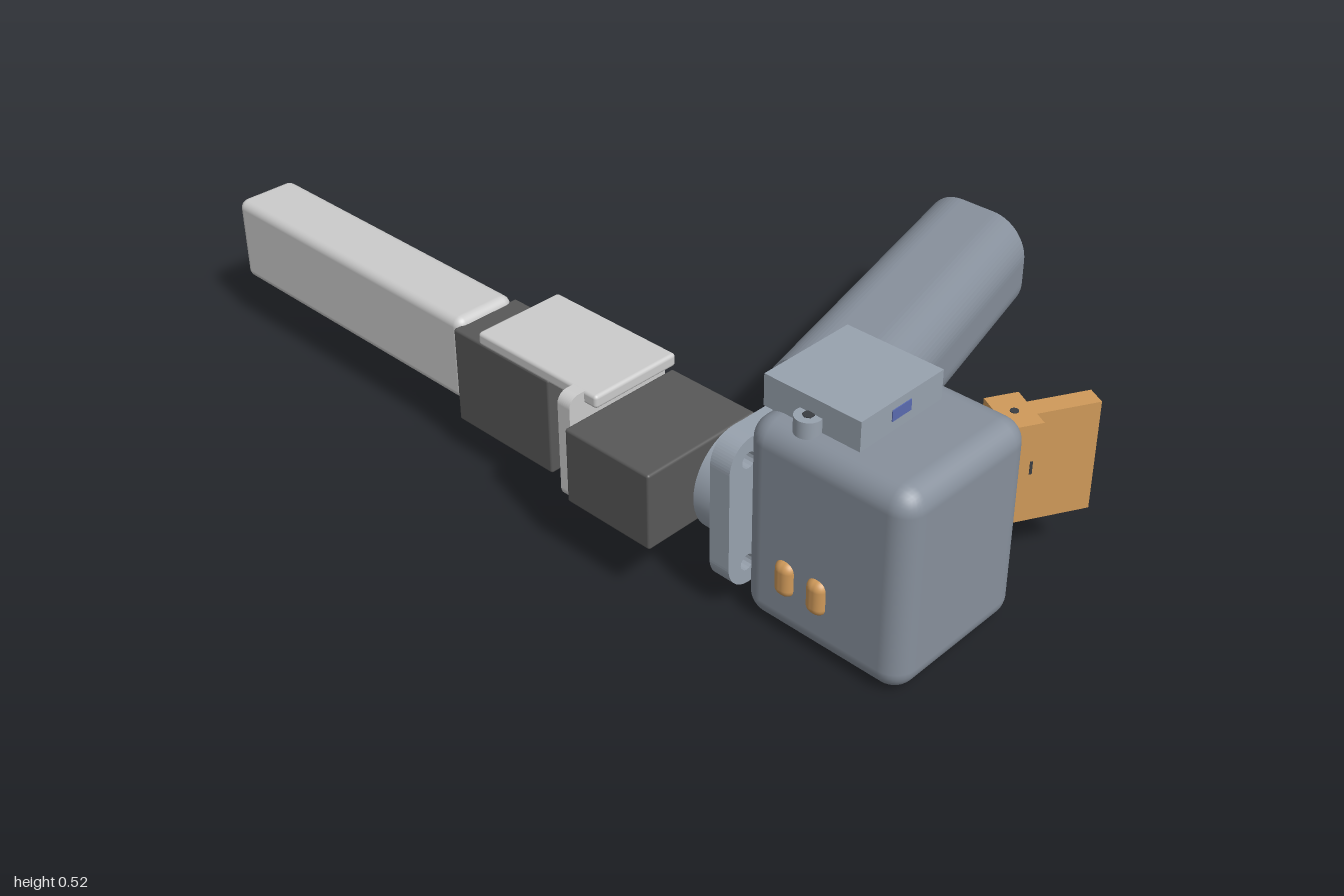
import * as THREE from 'three';
import { RoundedBoxGeometry } from 'three/addons/geometries/RoundedBoxGeometry.js';

const material = (color) => new THREE.MeshStandardMaterial({ color });
const SLATE = material(0x87909c);
const STEEL = material(0x98a2ae);
const LIGHT = material(0xd4d4d4);
const DARK = material(0x585858);
const ORANGE = material(0xd09a5a);
const BLUE = material(0x5a6bb0);
const HOLE = material(0x3a3d42);

function add(parent, name, geometry, mat, x = 0, y = 0, z = 0) {
  const mesh = new THREE.Mesh(geometry, mat);
  mesh.name = name;
  mesh.position.set(x, y, z);
  parent.add(mesh);
  return mesh;
}

// Box given by its minimum and maximum on each axis; r rounds the edges.
function block(parent, name, mat, [x0, x1], [y0, y1], [z0, z1], r = 0) {
  const size = [x1 - x0, y1 - y0, z1 - z0];
  const geometry = r ? new RoundedBoxGeometry(...size, 4, r) : new THREE.BoxGeometry(...size);
  return add(parent, name, geometry, mat, (x0 + x1) / 2, (y0 + y1) / 2, (z0 + z1) / 2);
}

// Cylinder along the given axis.
function rod(parent, name, mat, axis, r, length, x, y, z, sides = 32) {
  const geometry = new THREE.CylinderGeometry(r, r, length, sides);
  if (axis === 'x') geometry.rotateZ(Math.PI / 2);
  if (axis === 'z') geometry.rotateX(Math.PI / 2);
  return add(parent, name, geometry, mat, x, y, z);
}

function roundedRect(w, h, r, Type = THREE.Shape) {
  const s = new Type();
  const a = w / 2, b = h / 2;
  s.absarc(a - r, b - r, r, 0, Math.PI / 2);
  s.absarc(r - a, b - r, r, Math.PI / 2, Math.PI);
  s.absarc(r - a, r - b, r, Math.PI, Math.PI * 1.5);
  s.absarc(a - r, r - b, r, Math.PI * 1.5, Math.PI * 2);
  s.closePath();
  return s;
}

function circleHole(x, y, r) {
  const p = new THREE.Path();
  p.absarc(x, y, r, 0, Math.PI * 2, true);
  return p;
}

const extrude = (shape, depth) =>
  new THREE.ExtrudeGeometry(shape, { depth, bevelEnabled: false, curveSegments: 8 });

export function createModel() {
  const model = new THREE.Group();
  model.name = 'articulatedTool';

  // Main housing with two push buttons
  const head = new THREE.Group();
  head.name = 'head';
  model.add(head);
  block(head, 'housing', SLATE, [0.6, 0.99], [0, 0.455], [0.14, 0.505], 0.05);
  for (const x of [0.712, 0.79]) {
    block(head, 'button', ORANGE, [x - 0.023, x + 0.023], [0.098, 0.178], [0.47, 0.52], 0.02);
  }

  // Module on top, screwed down front and back, with a port on its left
  block(head, 'topModule', STEEL, [0.6, 0.83], [0.45, 0.52], [0.21, 0.448]);
  block(head, 'port', BLUE, [0.8, 0.832], [0.478, 0.502], [0.305, 0.36]);
  for (const z of [0.198, 0.456]) {
    rod(head, 'screwBoss', STEEL, 'y', 0.028, 0.036, 0.715, 0.468, z);
    rod(head, 'screwSocket', HOLE, 'y', 0.012, 0.002, 0.715, 0.487, z, 6);
  }

  // Mounting flange with corner holes
  const flange = roundedRect(0.385, 0.34, 0.06);
  for (const x of [-0.14, 0.14]) {
    for (const y of [-0.12, 0.12]) flange.holes.push(circleHole(x, y, 0.018));
  }
  const plate = add(model, 'flange', extrude(flange, 0.05), STEEL, 0.555, 0.23, 0.352);
  plate.rotation.y = Math.PI / 2;
  rod(model, 'flangeDisc', STEEL, 'x', 0.117, 0.056, 0.528, 0.228, 0.415, 48);
  rod(model, 'shaft', STEEL, 'x', 0.07, 0.04, 0.485, 0.228, 0.415);

  // Two servo blocks joined by an angled bracket
  block(model, 'innerServo', DARK, [0.242, 0.472], [0.14, 0.315], [0.325, 0.625], 0.006);
  block(model, 'outerServo', DARK, [-0.2, 0.096], [0.086, 0.316], [0.36, 0.535], 0.006);
  rod(model, 'servoHorn', LIGHT, 'y', 0.07, 0.036, 0.01, 0.331, 0.45);
  block(model, 'bracketTop', LIGHT, [-0.075, 0.275], [0.346, 0.376], [0.347, 0.57], 0.008);
  const side = add(model, 'bracketSide', extrude(roundedRect(0.264, 0.25, 0.025), 0.034),
    LIGHT, 0.208, 0.25, 0.478);
  side.rotation.y = Math.PI / 2;

  // Long light arm
  block(model, 'arm', LIGHT, [-1, -0.19], [0.125, 0.332], [0.373, 0.527], 0.022);

  // Slanted handle: a rounded section sheared sideways along its length
  const section = roundedRect(0.28, 0.25, 0.095);
  section.holes.push(circleHole(0, 0, 0.014));
  const grip = extrude(section, 0.805);
  const pos = grip.attributes.position;
  for (let i = 0; i < pos.count; i++) {
    const z = pos.getZ(i);
    pos.setX(i, pos.getX(i) + 0.255 * z);
    pos.setY(i, pos.getY(i) * (0.98 + 0.07 * z));
  }
  grip.computeVertexNormals();
  add(model, 'handle', grip, SLATE, 0.305, 0.228, -0.63);
  for (const z of [-0.45, 0]) {
    rod(model, 'handleScrewHole', HOLE, 'y', 0.018, 0.01, 0.305 + 0.255 * (z + 0.63), 0.105, z, 16);
  }

  // Orange paddle, with local -z running out along its stalk
  const lever = new THREE.Group();
  lever.name = 'lever';
  lever.position.set(0.925, 0, -0.015);
  lever.rotation.y = -0.5;
  model.add(lever);
  block(lever, 'paddle', ORANGE, [-0.022, 0.022], [0.125, 0.378], [-0.1, 0.1]);
  block(lever, 'clamp', ORANGE, [-0.058, 0.054], [0.298, 0.378], [0.038, 0.112]);
  for (const x of [-0.022, 0.022]) {
    block(lever, 'stalk', ORANGE, [x - 0.015, x + 0.015], [0.315, 0.362], [0.1, 0.24]);
  }
  rod(lever, 'paddleDisc', ORANGE, 'x', 0.05, 0.008, -0.024, 0.25, 0, 40);
  block(lever, 'paddleSlot', HOLE, [0.02, 0.023], [0.237, 0.267], [0.036, 0.042]);
  rod(lever, 'clampScrew', HOLE, 'y', 0.009, 0.003, 0, 0.378, 0.075, 12);

  return model;
}
